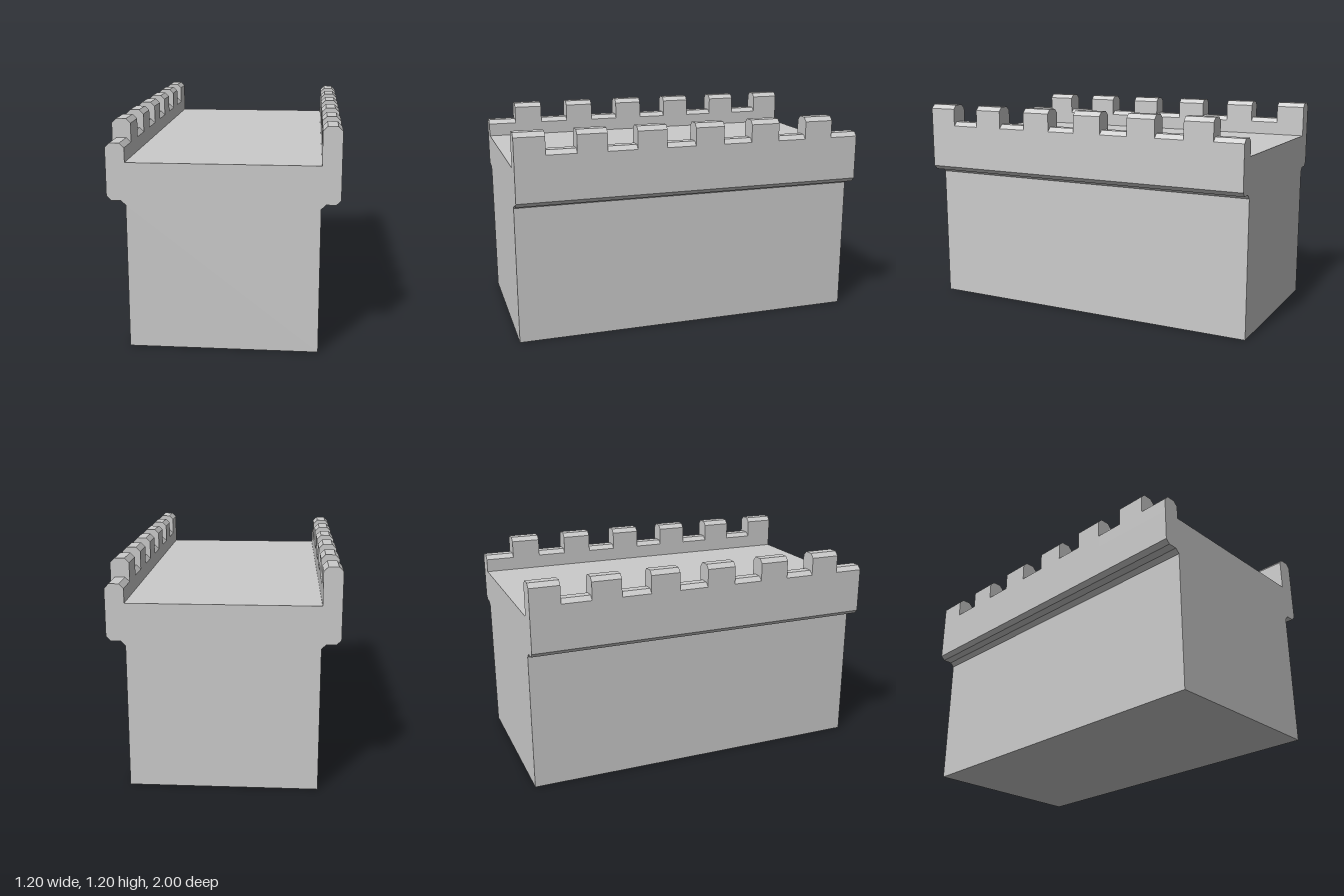
import * as THREE from 'three';

const LENGTH = 2, SEGMENTS = 12, STEP = LENGTH / SEGMENTS, BEVEL = 0.024;
const INNER = 0.5, OUTER = 0.6, DECK = 1;

// Extrude an x/y cross-section along z, centred on its own middle
function prism(points, depth, material, name) {
  const shape = new THREE.Shape(points.map(([x, y]) => new THREE.Vector2(x, y)));
  const geometry = new THREE.ExtrudeGeometry(shape, { depth, bevelEnabled: false });
  geometry.translate(0, 0, -depth / 2);
  const mesh = new THREE.Mesh(geometry, material);
  mesh.name = name;
  return mesh;
}

// Parapet block standing on the deck, with both top edges chamfered
function parapetProfile(top) {
  return [
    [INNER, DECK], [OUTER, DECK], [OUTER, top - BEVEL], [OUTER - BEVEL, top],
    [INNER + BEVEL, top], [INNER, top - BEVEL],
  ];
}

export function createModel() {
  const model = new THREE.Group();
  model.name = 'battlementWall';
  const material = new THREE.MeshStandardMaterial({ color: 0xcccccc, flatShading: true });

  // Wall body with the overhanging ledge on both sides
  const half = [
    [INNER, 0], [INNER, 0.8 - BEVEL], [INNER + BEVEL, 0.8],
    [OUTER - BEVEL, 0.8], [OUTER, 0.8 + BEVEL], [OUTER, DECK],
  ];
  const mirrored = half.map(([x, y]) => [-x, y]).reverse();
  model.add(prism([...half, ...mirrored], LENGTH, material, 'wallBody'));

  // Parapets: tall and low blocks alternate; the far side is turned half round
  for (const side of ['left', 'right']) {
    const parapet = new THREE.Group();
    parapet.name = side + 'Parapet';
    for (let i = 0; i < SEGMENTS; i++) {
      const tall = i % 2 === 0;
      const block = prism(parapetProfile(tall ? 1.2 : 1.1), STEP, material, tall ? 'merlon' : 'crenel');
      block.position.z = LENGTH / 2 - (i + 0.5) * STEP;
      parapet.add(block);
    }
    if (side === 'right') parapet.rotation.y = Math.PI;
    model.add(parapet);
  }
  return model;
}
